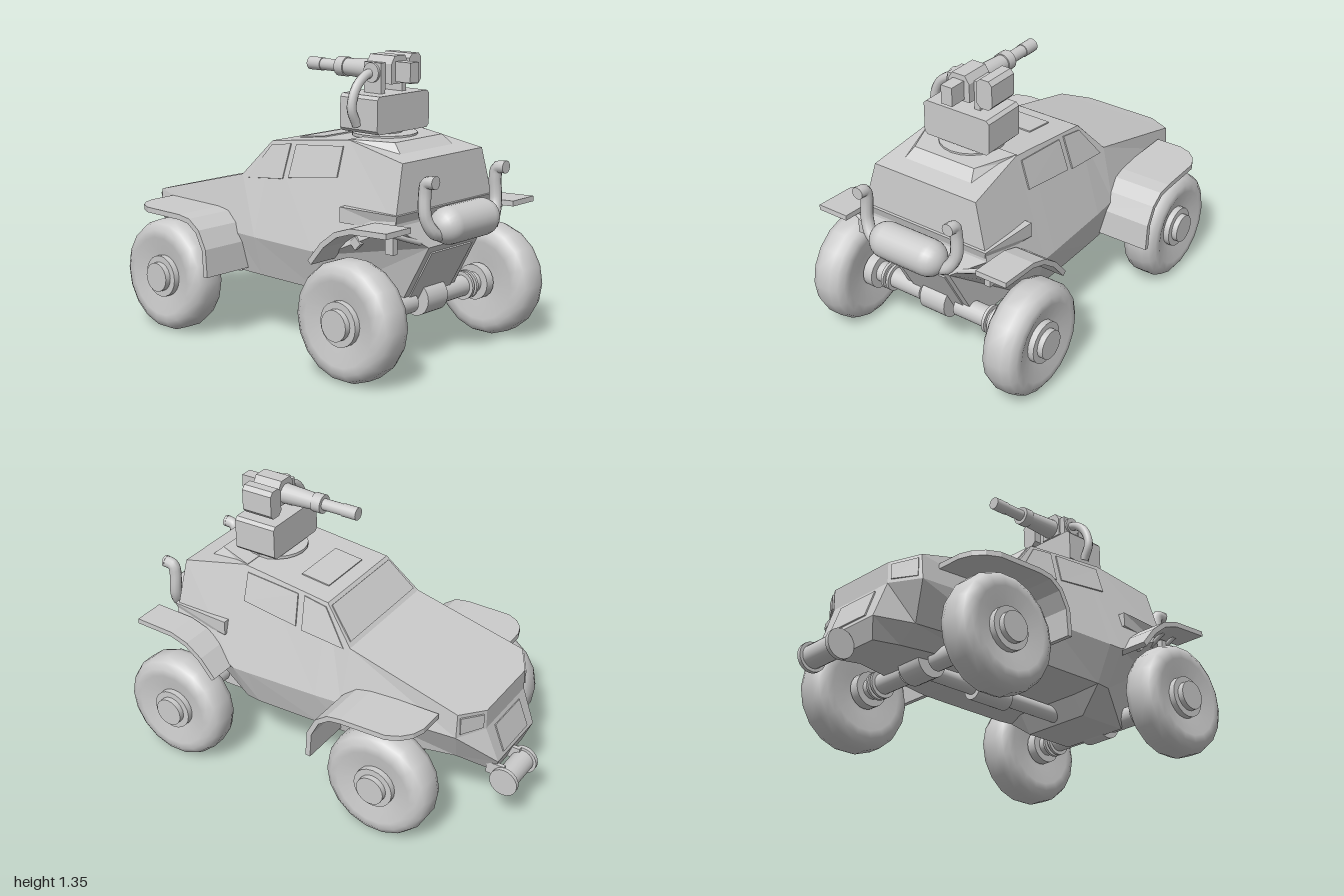
import * as THREE from 'three';
import { mergeVertices, toCreasedNormals } from 'three/addons/utils/BufferGeometryUtils.js';

const grey = new THREE.MeshStandardMaterial({ color: 0xcccccc });

// Skin between rings of corners (each ring counterclockwise seen from the far end), with capped ends
function loft(rings) {
  const n = rings[0].length, pos = [];
  const quad = (a, b, c, d) => pos.push(...a, ...b, ...c, ...a, ...c, ...d);
  for (let i = 0; i < rings.length - 1; i++)
    for (let j = 0; j < n; j++) {
      const k = (j + 1) % n;
      quad(rings[i][j], rings[i][k], rings[i + 1][k], rings[i + 1][j]);
    }
  const first = rings[0], last = rings[rings.length - 1];
  for (let j = 0; j < n / 2 - 1; j++) {
    quad(last[j], last[j + 1], last[n - 2 - j], last[n - 1 - j]);
    quad(first[n - 1 - j], first[n - 2 - j], first[j + 1], first[j]);
  }
  const g = new THREE.BufferGeometry();
  g.setAttribute('position', new THREE.Float32BufferAttribute(pos, 3));
  g.computeVertexNormals();
  return g;
}

// Full ring from the right half of a section
const mirrorRing = half => [...half, ...half.map(([x, y, z]) => [-x, y, z]).reverse()];

// Thin raised slab on four corners, counterclockwise from outside
function slab(pts, rise = 0.006) {
  const v = pts.map(p => new THREE.Vector3(...p));
  const n = v[2].clone().sub(v[0]).cross(v[3].clone().sub(v[1])).normalize();
  const shift = d => v.map(p => p.clone().addScaledVector(n, d).toArray());
  return loft([shift(-0.012), shift(rise)]);
}

// Mudguard strip following [z, y, outerX] points, side s
function mudguard(path, inner, thick, s) {
  return loft(path.map(([z, y, outer], i) => {
    const a = path[Math.max(i - 1, 0)], b = path[Math.min(i + 1, path.length - 1)];
    const l = Math.hypot(b[0] - a[0], b[1] - a[1]);
    const lz = z + (b[1] - a[1]) / l * thick, ly = y - (b[0] - a[0]) / l * thick;
    const [x0, x1] = s > 0 ? [inner, outer] : [-outer, -inner];
    return [[x0, ly, lz], [x1, ly, lz], [x1, y, z], [x0, y, z]];
  }));
}

export function createModel() {
  const model = new THREE.Group();
  const add = (name, geo, x = 0, y = 0, z = 0) => {
    const m = new THREE.Mesh(geo, grey);
    m.name = name;
    m.position.set(x, y, z);
    model.add(m);
    return m;
  };
  const box = (name, w, h, d, x, y, z) => add(name, new THREE.BoxGeometry(w, h, d), x, y, z);
  const rod = (name, r, len, x, y, z, axis = 'x', r2 = r, seg = 20) => {
    const g = new THREE.CylinderGeometry(r2, r, len, seg);
    if (axis === 'x') g.rotateZ(-Math.PI / 2);
    if (axis === 'z') g.rotateX(-Math.PI / 2);
    return add(name, g, x, y, z);
  };
  const tube = (name, pts, r, seg = 24) => add(name, new THREE.TubeGeometry(
    new THREE.CatmullRomCurve3(pts.map(p => new THREE.Vector3(...p))), seg, r, 10));

  // Armoured hull: bottom, chine, belt and top corners from nose to tail
  add('hull', loft([
    [[0.14, 0.24, -0.85], [0.18, 0.33, -0.885], [0.19, 0.5, -0.82], [0.19, 0.6, -0.82]],
    [[0.14, 0.26, -0.7], [0.24, 0.33, -0.7], [0.33, 0.5, -0.74], [0.32, 0.62, -0.74]],
    [[0.16, 0.3, -0.17], [0.33, 0.31, -0.17], [0.375, 0.5, -0.16], [0.31, 0.77, -0.17]],
    [[0.16, 0.3, -0.02], [0.335, 0.31, -0.02], [0.385, 0.5, -0.02], [0.26, 0.94, -0.02]],
    [[0.18, 0.3, 0.33], [0.34, 0.31, 0.33], [0.398, 0.5, 0.36], [0.252, 0.984, 0.35]],
    [[0.18, 0.21, 0.39], [0.33, 0.31, 0.41], [0.4, 0.5, 0.44], [0.25, 0.995, 0.45]],
    [[0.18, 0.21, 0.66], [0.18, 0.56, 0.85], [0.35, 0.67, 0.8], [0.28, 0.935, 0.78]],
  ].map(mirrorRing)));
  add('rearLedge', loft([
    [[0.37, 0.65, 0.5], [0.37, 0.72, 0.5]],
    [[0.33, 0.65, 0.79], [0.35, 0.72, 0.81]],
  ].map(mirrorRing)));

  // Raised wedge on the rear of the roof
  add('roofWedge', loft([
    [[0.25, 0.97, 0.44], [0.245, 0.997, 0.44]],
    [[0.19, 0.94, 0.7], [0.165, 0.995, 0.64]],
  ].map(mirrorRing)));

  // Panels, windows and hatches
  add('windshield', slab([[0.285, 0.787, -0.155], [-0.285, 0.787, -0.155], [-0.25, 0.925, -0.033], [0.25, 0.925, -0.033]]));
  add('roofHatch', slab([[-0.145, 0.966, 0.2], [0.145, 0.966, 0.2], [0.145, 0.948, 0.05], [-0.145, 0.948, 0.05]]));
  add('rearDoor', slab([[-0.145, 0.235, 0.673], [0.145, 0.235, 0.673], [0.145, 0.53, 0.835], [-0.145, 0.53, 0.835]]));
  add('nosePlate', slab([[0.12, 0.35, -0.878], [-0.12, 0.35, -0.878], [-0.12, 0.48, -0.828], [0.12, 0.48, -0.828]]));
  const sideX = (z, y) => 0.386 + 0.033 * z - (y - 0.5) * (0.285 + 0.04 * z);
  const windows = {
    rearWindow: [[0.425, 0.83], [0.13, 0.79], [0.14, 0.94], [0.425, 0.965]],
    frontWindow: [[0.095, 0.78], [-0.135, 0.757], [-0.015, 0.92], [0.105, 0.94]],
  };
  const headlight = [[0.31, 0.515, -0.747], [0.205, 0.515, -0.811], [0.205, 0.585, -0.811], [0.31, 0.6, -0.747]];

  // Tyre profile: radius, offset along the axle
  const tyre = toCreasedNormals(mergeVertices(new THREE.LatheGeometry([
    [0.001, -0.07], [0.1, -0.07], [0.19, -0.092], [0.225, -0.09], [0.255, -0.07], [0.27, -0.035],
    [0.27, 0.035], [0.255, 0.07], [0.225, 0.09], [0.19, 0.092], [0.1, 0.06], [0.001, 0.06],
  ].map(p => new THREE.Vector2(...p)), 18).deleteAttribute('uv').deleteAttribute('normal')), 0.75);

  for (const s of [1, -1]) {
    const side = pts => s > 0 ? pts : pts.map(([x, y, z]) => [-x, y, z]).reverse();
    for (const [name, w] of Object.entries(windows))
      add(name, slab(side(w.map(([z, y]) => [sideX(z, y), y, z]))));
    add('headlight', slab(side(headlight), 0.008));

    // Mudguards with rear stays
    add('frontMudguard', mudguard([[-0.65, 0.6, 0.46], [-0.63, 0.6, 0.52], [-0.59, 0.6, 0.565], [-0.53, 0.6, 0.595],
      [-0.3, 0.6, 0.6], [-0.23, 0.59, 0.6], [-0.165, 0.545, 0.6], [-0.12, 0.46, 0.6], [-0.11, 0.33, 0.6]], 0.33, 0.025, s));
    add('rearMudguard', mudguard([[0.455, 0.5, 0.525], [0.53, 0.59, 0.525], [0.61, 0.65, 0.525],
      [0.7, 0.68, 0.525], [0.9, 0.69, 0.525]], 0.365, 0.025, s));
    for (const z of [0.72, 0.8])
      tube('mudguardStay', [[s * 0.17, 0.57, z + 0.03], [s * 0.3, 0.615, z + 0.02], [s * 0.43, 0.665, z]], 0.012, 4);
    box('tailLight', 0.03, 0.1, 0.045, s * 0.36, 0.605, 0.79);
    box('sideMarker', 0.02, 0.045, 0.045, s * 0.37, 0.575, 0.6).rotation.x = Math.PI / 4;

    // Wheels, hubs and axle halves
    for (const z of [0.685, -0.46]) {
      const w = add('wheel', tyre, s * 0.493, 0.27, z);
      w.rotation.z = -s * Math.PI / 2;
      rod('hub', 0.1, 0.035, s * 0.565, 0.27, z);
      rod('hubCap', 0.07, 0.03, s * 0.595, 0.27, z);
      rod('axle', 0.05, 0.3, s * 0.25, 0.27, z);
      rod('brakeDrum', 0.085, 0.05, s * 0.385, 0.27, z);
      for (const x of [0.28, 0.31]) rod('axleFlange', 0.068, 0.014, s * x, 0.27, z);
    }

    // Exhaust pipes
    tube('exhaustPipe', [[s * 0.16, 0.62, 0.9], [s * 0.215, 0.645, 0.9], [s * 0.25, 0.71, 0.885],
      [s * 0.25, 0.82, 0.88], [s * 0.25, 0.86, 0.89], [s * 0.25, 0.868, 0.935]], 0.029);
    rod('exhaustOutlet', 0.029, 0.012, s * 0.25, 0.868, 0.932, 'z');
    box('gunBracket', 0.03, 0.15, 0.1, s * 0.073, 1.25, 0.44);
    rod('gunPivot', 0.045, 0.03, s * 0.085, 1.28, 0.44);
    box('winchArm', 0.02, 0.06, 0.09, 0.09 + s * 0.08, 0.28, -0.87);
  }

  // Silencer
  const silencer = new THREE.CapsuleGeometry(0.085, 0.23, 6, 24).rotateZ(Math.PI / 2);
  add('silencer', silencer, 0, 0.66, 0.905);

  // Driveline under the hull
  for (const z of [0.685, -0.46]) rod('differential', 0.08, 0.14, 0, 0.28, z);
  rod('driveShaft', 0.038, 1.0, 0, 0.26, 0.1, 'z');
  rod('transferCase', 0.052, 0.21, 0, 0.25, -0.05, 'z');

  // Winch
  rod('winchDrum', 0.055, 0.18, 0.09, 0.24, -0.925);
  for (const x of [-0.01, 0.19]) rod('winchFlange', 0.07, 0.02, x, 0.24, -0.925);

  // Turret
  rod('turretRing', 0.15, 0.015, 0, 0.997, 0.44, 'y');
  rod('turretNeck', 0.08, 0.04, 0, 1.005, 0.44, 'y');
  const front = new THREE.Shape();
  const W = 0.18, c = 0.015;
  front.setFromPoints([[-W + c, 0], [W - c, 0], [W, c], [W, 0.17 - c], [W - c, 0.17], [-W + c, 0.17], [-W, 0.17 - c], [-W, c]]
    .map(p => new THREE.Vector2(...p)));
  add('turretBox', new THREE.ExtrudeGeometry(front, { depth: 0.22, bevelEnabled: false }), 0, 1.017, 0.33);

  // Gun
  const breech = new THREE.Shape([[-0.058, 0], [0.058, 0], [0.058, 0.09], [0.035, 0.125], [-0.035, 0.125], [-0.058, 0.09]]
    .map(p => new THREE.Vector2(...p)));
  add('breech', new THREE.ExtrudeGeometry(breech, { depth: 0.145, bevelEnabled: false }), 0, 1.23, 0.38);
  box('breechTail', 0.06, 0.09, 0.1, 0, 1.285, 0.56);
  rod('barrelSleeve', 0.05, 0.18, 0, 1.28, 0.3, 'z', 0.04);
  rod('barrelCollar', 0.046, 0.05, 0, 1.28, 0.19, 'z');
  rod('barrel', 0.028, 0.25, 0, 1.28, 0.105, 'z');
  rod('muzzle', 0.031, 0.08, 0, 1.28, 0.02, 'z');
  const can = new THREE.Shape([[0.085, 0.02], [0.105, 0], [0.15, 0], [0.168, 0.02], [0.168, 0.12], [0.15, 0.14], [0.105, 0.14], [0.085, 0.12]]
    .map(p => new THREE.Vector2(...p)));
  add('ammunitionBox', new THREE.ExtrudeGeometry(can, { depth: 0.16, bevelEnabled: false }), 0, 1.215, 0.35);
  tube('feedChute', [[-0.05, 1.275, 0.43], [-0.12, 1.27, 0.43], [-0.185, 1.22, 0.43], [-0.215, 1.13, 0.43], [-0.18, 1.05, 0.43]], 0.022);

  return model;
}
